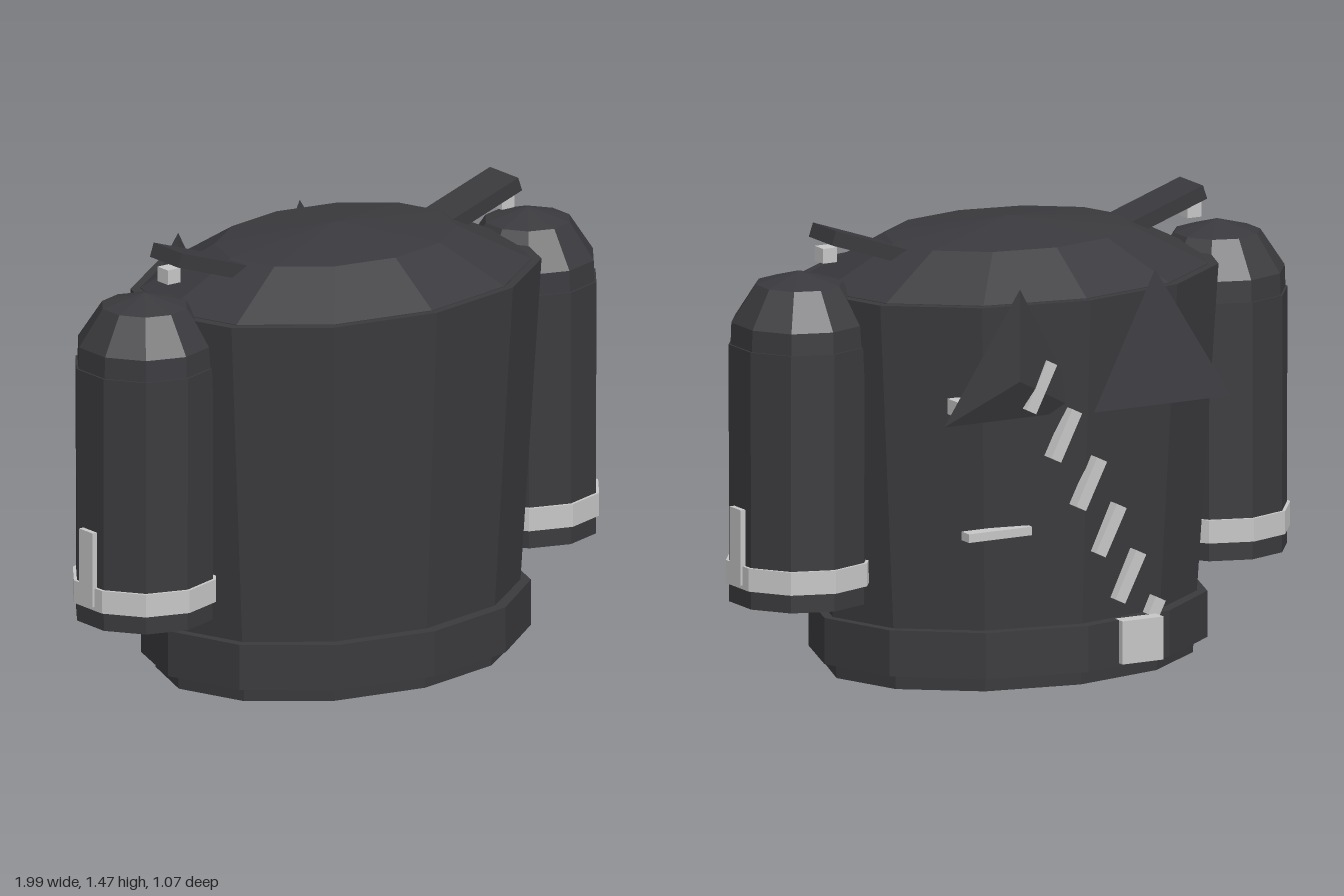
import * as THREE from 'three';
import { ConvexGeometry } from 'three/addons/geometries/ConvexGeometry.js';

export function createModel() {
  const model = new THREE.Group();
  const leather = new THREE.MeshStandardMaterial({ color: 0x3a3a3e, flatShading: true });
  leather.name = 'dark leather';
  const metal = new THREE.MeshStandardMaterial({ color: 0xc6c6c6, flatShading: true });
  metal.name = 'light metal';

  const add = (name, geometry, material, x = 0, y = 0, z = 0) => {
    const mesh = new THREE.Mesh(geometry, material);
    mesh.name = name;
    mesh.position.set(x, y, z);
    model.add(mesh);
    return mesh;
  };
  const box = (name, material, w, h, d, x, y, z) =>
    add(name, new THREE.BoxGeometry(w, h, d), material, x, y, z);
  // upright cylinder between two heights
  const drum = (name, material, rTop, rBottom, y0, y1, sides, x = 0) =>
    add(name, new THREE.CylinderGeometry(rTop, rBottom, y1 - y0, sides), material, x, (y0 + y1) / 2);
  const lathe = (name, points, sides, x = 0) =>
    add(name, new THREE.LatheGeometry(points.map(p => new THREE.Vector2(...p)), sides), leather, x);

  // Oval torso, waistband and shoulder dome
  drum('torso', leather, 0.713, 0.626, 0, 1.26, 12).scale.z = 0.742;
  drum('waistband', leather, 0.67, 0.67, 0.05, 0.2, 12).scale.z = 0.77;
  lathe('shoulderDome', [[0.678, 1.25], [0.678, 1.262], [0.42, 1.39], [0, 1.435]], 12).scale.z = 0.742;

  // Sleeves, cuffs and shoulder straps, mirrored
  for (const side of [1, -1]) {
    const x = side * 0.763;
    drum('sleeve', leather, 0.228, 0.226, 0.275, 1.11, 10, x);
    lathe('sleeveCap', [[0.222, 1.1], [0.219, 1.18], [0.14, 1.3], [0, 1.34]], 10, x);
    drum('cuffBand', metal, 0.237, 0.237, 0.335, 0.41, 10, x);
    box('cuffZip', metal, 0.04, 0.245, 0.07, side * 0.976, 0.47, 0);

    const strap = box('shoulderStrap', leather, 0.36, 0.047, 0.148, side * 0.507, 1.39, 0);
    strap.rotation.z = side * 0.33;
    box('strapStud', metal, 0.05, 0.048, 0.054, side * 0.665, 1.382, 0);
    box('lapelStud', metal, 0.055, 0.05, 0.072, side * 0.42, 0.94, -0.432);
  }

  // Lapels: thin three-sided points, one turned inward and one outward
  const lapel = (name, x, zRidge, zBase) => add(name, new ConvexGeometry([
    new THREE.Vector3(x, 1.325, zRidge),
    new THREE.Vector3(x, 1.025, zRidge),
    new THREE.Vector3(x + 0.25, 0.895, zBase),
    new THREE.Vector3(x - 0.25, 0.895, zBase),
  ]), leather);
  lapel('leftLapel', 0.26, -0.532, -0.485);
  lapel('rightLapel', -0.26, -0.485, -0.532);

  // Diagonal row of zip teeth following the torso surface
  for (let i = 0; i < 7; i++) {
    const x = 0.26 - 0.086 * i, y = 1.16 - 0.165 * i;
    const surface = 0.464 + 0.052 * y - 0.2 * Math.abs(x);
    box('zipTooth', metal, 0.04, 0.17, 0.045, x, y, -surface - 0.018).rotation.z = 0.47;
  }
  box('pocketZip', metal, 0.23, 0.028, 0.048, 0.3, 0.522, -0.454);
  box('buckle', metal, 0.15, 0.14, 0.05, -0.2, 0.13, -0.488);

  return model;
}
